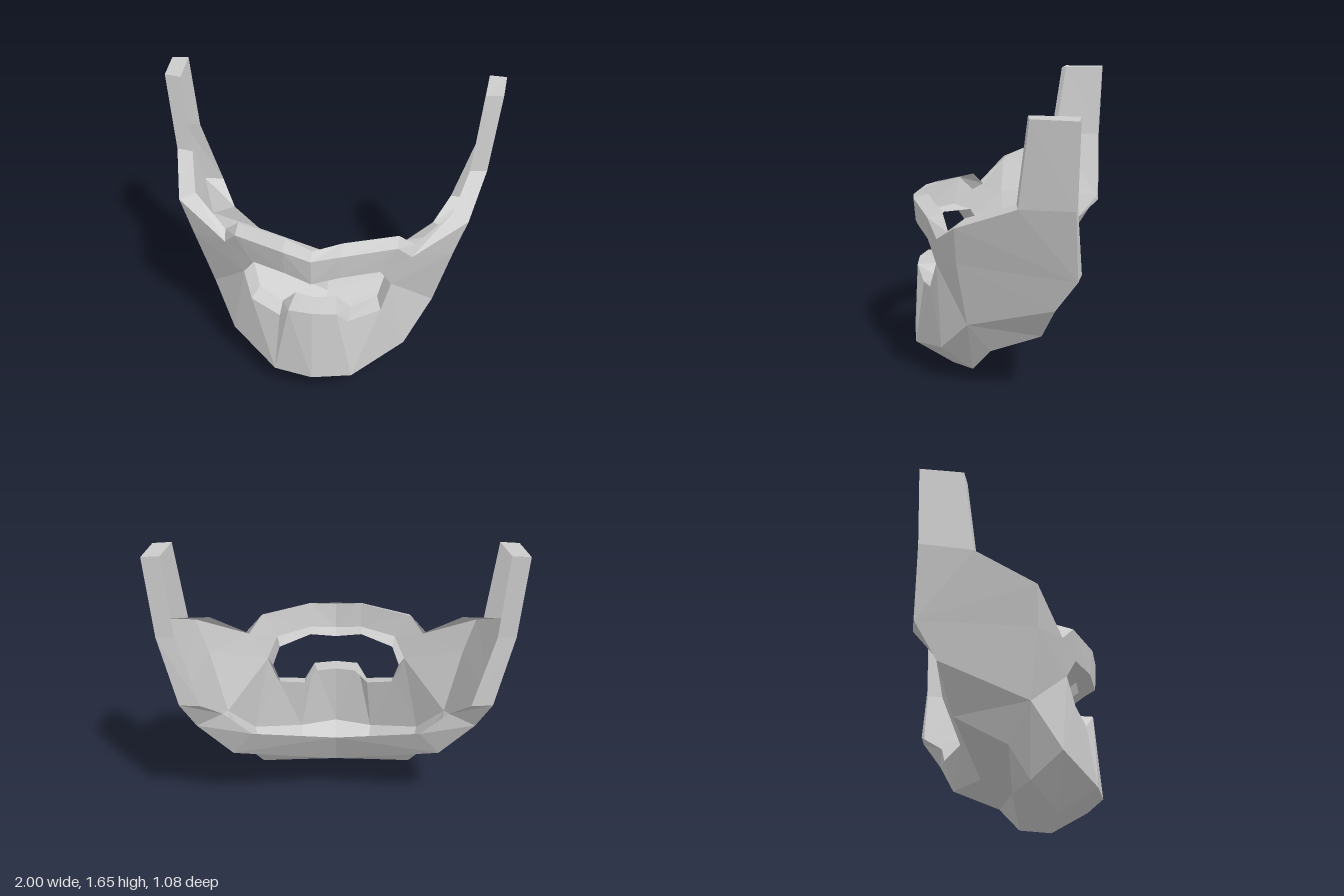
import * as THREE from 'three';

const material = new THREE.MeshStandardMaterial({ color: 0xcccccc, flatShading: true, side: THREE.DoubleSide });

// Edge chains of the left half (+x); every panel is lofted between two of them.
// Rear edge, sideburn top down to the throat centre, and its turned-in lip
const back = [[1, 1.65, -0.53], [0.96, 1.2, -0.52], [0.86, 0.8, -0.53], [0.79, 0.61, -0.41], [0.6, 0.38, -0.32], [0, 0.25, -0.16]];
const backLip = [[0.9, 1.655, -0.53], [0.86, 1.2, -0.52], [0.74, 0.8, -0.54], [0.64, 0.68, -0.4], [0.48, 0.54, -0.38], [0, 0.46, -0.28]];
// Upper edge, sideburn front down the cheek and over the moustache
const top = [[0.98, 1.65, -0.29], [0.93, 1.19, -0.23], [0.84, 1.05, 0.11], [0.54, 0.89, 0.27], [0.46, 0.99, 0.34], [0.16, 1.01, 0.49], [0, 0.99, 0.53]];
const topLip = [[0.88, 1.65, -0.27], [0.83, 1.19, -0.21], [0.75, 1.08, 0.07], [0.55, 0.93, 0.2], [0.46, 1.015, 0.25], [0.16, 1.04, 0.4], [0, 1.02, 0.47]];
// Mouth opening, top centre round to bottom centre
const mouth = [[0, 0.83, 0.52], [0.16, 0.855, 0.47], [0.37, 0.835, 0.36], [0.43, 0.71, 0.3], [0.38, 0.55, 0.35], [0.2, 0.51, 0.43], [0.14, 0.595, 0.48], [0, 0.6, 0.5]];
const mouthLip = [[0, 0.81, 0.42], [0.16, 0.84, 0.38], [0.35, 0.81, 0.25], [0.39, 0.71, 0.2], [0.35, 0.57, 0.25], [0.2, 0.53, 0.32], [0.12, 0.61, 0.33], [0, 0.61, 0.36]];
// Jaw crease from cheek to chin, and the ring beneath it
const jaw = [[0.77, 0.83, 0.115], [0.67, 0.45, 0.08], [0.52, 0.24, 0.26], [0.23, 0.135, 0.48], [0, 0.145, 0.54]];
const base = [[0.55, 0.25, -0.03], [0.46, 0.09, 0.09], [0.2, 0, 0.26], [0, 0, 0.27]];
const throat = [0, 0.17, 0.02];

const pick = (chain, ...ids) => ids.map((i) => chain[i]);

// Joins two chains of equal length with triangles, on both sides of the face
function panel(name, ...strips) {
  const positions = [];
  const triangle = (p, q, r) => {
    if (p === q || q === r || p === r) return;
    positions.push(...p, ...q, ...r);
    for (const [x, y, z] of [p, r, q]) positions.push(-x, y, z);
  };
  for (const [a, b] of strips) {
    for (let i = 0; i < a.length - 1; i++) {
      triangle(a[i], a[i + 1], b[i + 1]);
      triangle(a[i], b[i + 1], b[i]);
    }
  }
  const geometry = new THREE.BufferGeometry();
  geometry.setAttribute('position', new THREE.Float32BufferAttribute(positions, 3));
  geometry.computeVertexNormals();
  const mesh = new THREE.Mesh(geometry, material);
  mesh.name = name;
  return mesh;
}

export function createModel() {
  const group = new THREE.Group();
  group.name = 'beard';
  group.add(
    // Outer skin
    panel('sideburns', [[top[0], top[1], top[2], jaw[0], jaw[1], jaw[1]], pick(back, 0, 1, 2, 2, 3, 4)]),
    panel('cheeks', [pick(mouth, 3, 3, 4), pick(jaw, 0, 1, 2)], [[top[3], mouth[3]], [top[2], jaw[0]]]),
    panel('moustache', [pick(top, 3, 4, 5, 6), pick(mouth, 3, 2, 1, 0)]),
    panel('chin', [pick(mouth, 4, 5, 6, 7), pick(jaw, 2, 3, 3, 4)]),
    // Underside
    panel('jawUnderside', [jaw.slice(1), base], [[back[4], jaw[1]], [base[0], base[0]]]),
    panel('throat', [base, base.map(() => throat)], [[throat, back[5]], [base[0], back[4]]]),
    // Turned-in edges
    panel('rearRim', [back, backLip]),
    panel('upperRim', [topLip, top]),
    panel('mouthRim', [mouthLip, mouth]),
    panel('sideburnCaps', [[back[0], backLip[0]], [top[0], topLip[0]]])
  );
  return group;
}
